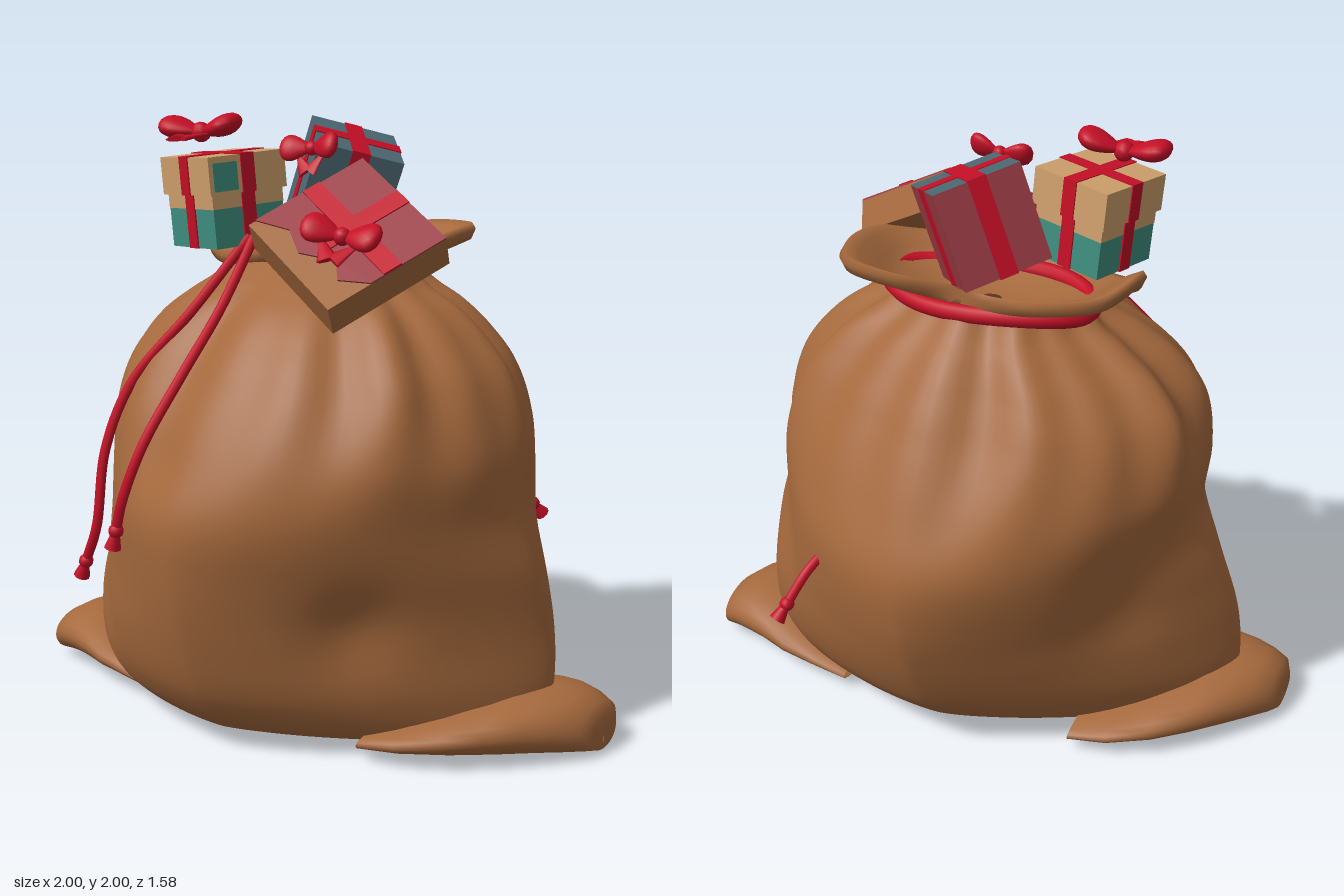
import * as THREE from 'three';

const mat = (name, color, side = THREE.FrontSide) => {
  const m = new THREE.MeshStandardMaterial({ color, side });
  m.name = name;
  return m;
};
const V = (x, y, z) => new THREE.Vector3(x, y, z);
const lerp = THREE.MathUtils.lerp;
const smooth = THREE.MathUtils.smoothstep;

// Skin closed rings of points, smooth all round
function loft(rings) {
  const n = rings[0].length, pos = [], idx = [];
  rings.forEach(r => r.forEach(p => pos.push(p.x, p.y, p.z)));
  for (let i = 0; i < rings.length - 1; i++) for (let j = 0; j < n; j++) {
    const k = (j + 1) % n, a = i * n, b = a + n;
    idx.push(a + j, b + j, a + k, b + j, b + k, a + k);
  }
  const g = new THREE.BufferGeometry();
  g.setAttribute('position', new THREE.Float32BufferAttribute(pos, 3));
  g.setIndex(idx);
  g.computeVertexNormals();
  return g;
}

export function createModel() {
  const root = new THREE.Group();
  root.name = 'giftSack';
  const cloth = mat('brownCloth', 0xa5693d, THREE.DoubleSide);
  const ribbon = mat('crimsonRibbon', 0xc40f26);
  const maroon = mat('mutedRedPaper', 0x9c3c44);
  const blue = mat('slateBluePaper', 0x4c6872);
  const teal = mat('tealPaper', 0x3f8f80);
  const tan = mat('tanPaper', 0xcfa06c);

  const add = (name, geo, material, parent = root) => {
    const m = new THREE.Mesh(geo, material);
    m.name = name;
    parent.add(m);
    return m;
  };

  // Sack body: y, then reach to -x, +x, -z, +z
  const profile = [
    [0.03, 0.01, 0.01, 0.01, 0.01], [0.01, 0.76, 0.76, 0.27, 0.3], [0.06, 0.83, 0.82, 0.42, 0.5],
    [0.2, 0.85, 0.84, 0.56, 0.62], [0.4, 0.83, 0.83, 0.66, 0.69], [0.6, 0.77, 0.81, 0.72, 0.73],
    [0.8, 0.7, 0.76, 0.73, 0.74], [1.0, 0.71, 0.75, 0.64, 0.66], [1.2, 0.67, 0.68, 0.52, 0.54],
    [1.32, 0.58, 0.59, 0.44, 0.45], [1.41, 0.46, 0.49, 0.37, 0.36], [1.47, 0.37, 0.39, 0.31, 0.27],
    [1.53, 0.32, 0.32, 0.26, 0.16]];
  const sideCurve = new THREE.CatmullRomCurve3(profile.map(p => V(p[1], p[0], p[2])));
  const depthCurve = new THREE.CatmullRomCurve3(profile.map(p => V(p[3], p[0], p[4])));
  // Soft hollows: centre, radius, depth
  const dents = [[V(0.5, 0.45, 0.45), 0.14, 0.04], [V(-0.6, 0.35, 0.4), 0.18, 0.03],
    [V(-0.15, 0.95, 0.65), 0.12, 0.02], [V(0.65, 0.62, -0.35), 0.15, 0.03], [V(-0.6, 0.6, -0.3), 0.18, 0.03]];
  const SEG = 120, ROWS = 72, rings = [];
  const pw = (v, e) => Math.sign(v) * Math.abs(v) ** e;
  for (let i = 0; i <= ROWS; i++) {
    const s = sideCurve.getPoint(i / ROWS), d = depthCurve.getPoint(i / ROWS);
    const y = Math.max(0, s.y), e = 2 / lerp(1.45, 2.1, smooth(y, 0.45, 1.25));
    const pleat = smooth(y, 0.8, 1.4) * 0.07, shear = 0.17 * (1 - smooth(y, 0.3, 1.0));
    rings.push(Array.from({ length: SEG }, (_, j) => {
      const a = j / SEG * Math.PI * 2, c = Math.cos(a), n = Math.sin(a);
      const k = 1 + pleat * (0.6 * Math.cos(9 * a + 0.6) + 0.5 * Math.cos(14 * a + 2 + y) - 0.2);
      const p = V(pw(c, e) * (c > 0 ? s.z : s.x) * k, y, pw(n, e) * (n > 0 ? d.z : d.x) * k);
      p.z -= shear * p.x;
      for (const [q, r, h] of dents) {
        const f = h * Math.exp(-p.distanceToSquared(q) / (r * r));
        p.x -= c * f;
        p.z -= n * f;
      }
      return p;
    }));
  }
  add('sackBody', loft(rings), cloth);

  // Bottom corners of the sack, flowing out of the body: x, centre z, half depth, top y
  const cornerRows = [[0.42, -0.03, 0.38, 0.1], [0.55, -0.04, 0.37, 0.14], [0.68, -0.07, 0.335, 0.18],
    [0.78, -0.1, 0.28, 0.205], [0.86, -0.135, 0.225, 0.21], [0.93, -0.17, 0.17, 0.195], [0.98, -0.2, 0.125, 0.165],
    [1.0, -0.21, 0.08, 0.12], [1.0, -0.21, 0.001, 0.06]];
  const cornerGeo = loft(cornerRows.map(([x, z, h, t]) => Array.from({ length: 32 }, (_, j) => {
    const a = j / 32 * Math.PI * 2, hy = (t - 0.01) / 2;
    return V(x, t - hy + Math.cos(a) * hy, z - Math.sin(a) * h);
  })));
  add('leftCorner', cornerGeo, cloth);
  add('rightCorner', cornerGeo, cloth).rotation.y = Math.PI;

  // Floppy collar, rolled over at the rim and closed inside
  const rim = new THREE.CatmullRomCurve3([
    V(0.46, 1.62, -0.14), V(0.42, 1.59, 0.04), V(0.22, 1.55, 0.17), V(0.02, 1.57, 0.22), V(-0.14, 1.54, 0.2),
    V(-0.3, 1.52, 0.15), V(-0.44, 1.56, 0.06), V(-0.52, 1.66, -0.08), V(-0.46, 1.63, -0.25),
    V(-0.28, 1.61, -0.33), V(-0.08, 1.57, -0.28), V(0.05, 1.57, -0.26), V(0.2, 1.61, -0.34), V(0.4, 1.62, -0.31)], true);
  // blend from neck to rim, lift
  const collarRows = [[0, 0], [0.3, 0.01], [0.65, -0.005], [0.93, -0.01], [1, 0.015], [0.94, 0.04],
    [0.7, 0.045], [0.35, 0.03], [0, 0.02], [-0.5, -0.02], [-0.9, -0.03]];
  add('sackCollar', loft(collarRows.map(([t, lift]) => Array.from({ length: 96 }, (_, j) => {
    const r = rim.getPoint(j / 96), a = Math.atan2(r.z + 0.06, r.x);
    const neck = V(Math.cos(a) * 0.31, 1.52, -0.06 + Math.sin(a) * 0.2);
    if (t < 0) return V(neck.x * (1 + t), 1.52 + lift, -0.06 + (neck.z + 0.06) * (1 + t));
    return neck.lerp(r, t).add(V(0, lift, 0));
  }))), cloth);

  // Drawstring round the neck and its hanging ends
  const ring = [];
  for (let j = 0; j < 24; j++) {
    const a = j / 24 * Math.PI * 2;
    ring.push(V(Math.cos(a) * 0.345, 1.525 + 0.008 * Math.cos(3 * a), -0.075 + Math.sin(a) * 0.195));
  }
  add('neckCord', new THREE.TubeGeometry(new THREE.CatmullRomCurve3(ring, true), 72, 0.028, 10, true), ribbon);

  function cord(name, points) {
    const g = new THREE.Group();
    g.name = name;
    root.add(g);
    const curve = new THREE.CatmullRomCurve3(points.map(p => V(...p)));
    add('string', new THREE.TubeGeometry(curve, 40, 0.016, 8), ribbon, g);
    const end = new THREE.Group();
    end.name = 'tassel';
    end.position.copy(curve.getPoint(1));
    end.quaternion.setFromUnitVectors(V(0, -1, 0), curve.getTangent(1));
    g.add(end);
    add('knot', new THREE.SphereGeometry(0.024, 12, 8), ribbon, end);
    add('tip', new THREE.CylinderGeometry(0.014, 0.027, 0.05, 10), ribbon, end).position.y = -0.035;
  }
  cord('longCord', [[-0.11, 1.62, 0.22], [-0.2, 1.4, 0.39], [-0.35, 1.16, 0.53], [-0.395, 0.95, 0.61],
    [-0.405, 0.7, 0.65], [-0.46, 0.57, 0.65]]);
  cord('shortCord', [[-0.09, 1.62, 0.22], [-0.095, 1.41, 0.38], [-0.11, 1.22, 0.55], [-0.14, 1.02, 0.7],
    [-0.18, 0.85, 0.755], [-0.205, 0.75, 0.76]]);
  cord('backCord', [[0.34, 0.74, -0.58], [0.37, 0.69, -0.66], [0.405, 0.6, -0.735]]);

  // Bow: two tapered loops, two tails, a knot; about 2 * size wide
  const loopGeo = new THREE.SphereGeometry(1, 18, 12);
  const lp = loopGeo.attributes.position;
  for (let i = 0; i < lp.count; i++) {
    const x = lp.getX(i), k = 0.3 + 0.35 * (x + 1);
    lp.setXYZ(i, 0.5 + x * 0.5, lp.getY(i) * k * 0.32 + 0.1 * (x + 1), lp.getZ(i) * k * 0.58);
  }
  loopGeo.computeVertexNormals();
  function bow(name, size, position, rotation, parent = root) {
    const g = new THREE.Group();
    g.name = name;
    g.position.set(...position);
    g.rotation.set(...rotation);
    g.scale.setScalar(size);
    parent.add(g);
    for (const s of [0, 1]) {
      add('loop', loopGeo, ribbon, g).rotation.y = s * Math.PI;
      const tail = add('tail', new THREE.ConeGeometry(0.26, 0.85, 8), ribbon, g);
      tail.scale.z = 0.25;
      tail.rotation.set(-Math.PI / 2, 0, s ? 0.6 : -0.6);
      tail.position.set(s ? -0.3 : 0.3, 0, 0.42);
    }
    add('knot', new THREE.SphereGeometry(0.22, 12, 8), ribbon, g);
  }

  const box = (w, h, d) => new THREE.BoxGeometry(w, h, d);
  function gift(name, position, rotation) {
    const g = new THREE.Group();
    g.name = name;
    g.position.set(...position);
    g.rotation.set(...rotation, 'ZYX');
    root.add(g);
    return g;
  }

  // Tan and teal gift
  const tanGift = gift('tanGift', [-0.245, 1.735, 0.18], [0.04, -0.28, 0.06]);
  add('box', box(0.265, 0.17, 0.265), teal, tanGift).position.y = -0.065;
  add('boxBand', box(0.268, 0.05, 0.268), tan, tanGift).position.y = 0.0;
  add('lid', box(0.29, 0.12, 0.29), tan, tanGift).position.y = 0.08;
  add('lidPatch', box(0.004, 0.09, 0.09), teal, tanGift).position.set(0.145, 0.075, 0.085);
  for (const r of [0, Math.PI / 2]) {
    add('lidRibbon', box(0.05, 0.124, 0.298), ribbon, tanGift).position.y = 0.081;
    add('boxRibbon', box(0.05, 0.172, 0.275), ribbon, tanGift).position.y = -0.065;
    tanGift.children.slice(-2).forEach(m => { m.rotation.y = r; });
  }
  bow('tanGiftBow', 0.15, [-0.32, 1.94, 0.21], [0.12, 0.1, 0.05]);

  // Blue gift, leaning over, with two muted red sides
  const blueGift = gift('blueGift', [0.01, 1.77, -0.12], [0, 0.78, -0.36]);
  add('box', box(0.285, 0.31, 0.285), [maroon, blue, blue, blue, blue, maroon], blueGift);
  for (const r of [0, Math.PI / 2]) add('ribbon', box(0.06, 0.317, 0.292), ribbon, blueGift).rotation.y = r;
  bow('blueGiftBow', 0.105, [0.065, 1.9, 0.12], [1.1, 0.15, -0.05]);

  // Flat red gift, tipped over the front edge
  const redGift = gift('redGift', [0.265, 1.622, 0.192], [0, 0, 0]);
  const u = V(0.4, -0.22, 0.1).normalize(), n = V(0.27, 0.765, 0.585);
  n.addScaledVector(u, -n.dot(u)).normalize();
  redGift.quaternion.setFromRotationMatrix(new THREE.Matrix4().makeBasis(u, n, u.clone().cross(n)));
  add('box', box(0.45, 0.11, 0.43), [cloth, maroon, cloth, cloth, cloth, cloth], redGift);
  const paper = new THREE.Shape([[-0.225, -0.215], [0.225, -0.215], [0.225, 0.06], [0.15, 0.13], [0.08, 0.09],
    [-0.02, 0.16], [-0.12, 0.13], [-0.225, 0.19]].map(p => new THREE.Vector2(...p)));
  const paperGeo = new THREE.ExtrudeGeometry(paper, { depth: 0.006, bevelEnabled: false }).rotateX(Math.PI / 2);
  add('topPaper', paperGeo, maroon, redGift).position.y = 0.06;
  add('ribbonAlong', box(0.45, 0.008, 0.065), ribbon, redGift).position.set(0, 0.061, -0.02);
  add('ribbonAcross', box(0.065, 0.008, 0.31), ribbon, redGift).position.set(0, 0.061, -0.06);
  bow('redGiftBow', 0.13, [0.03, 0.08, 0.03], [0, 0.6, 0], redGift);

  return root;
}
